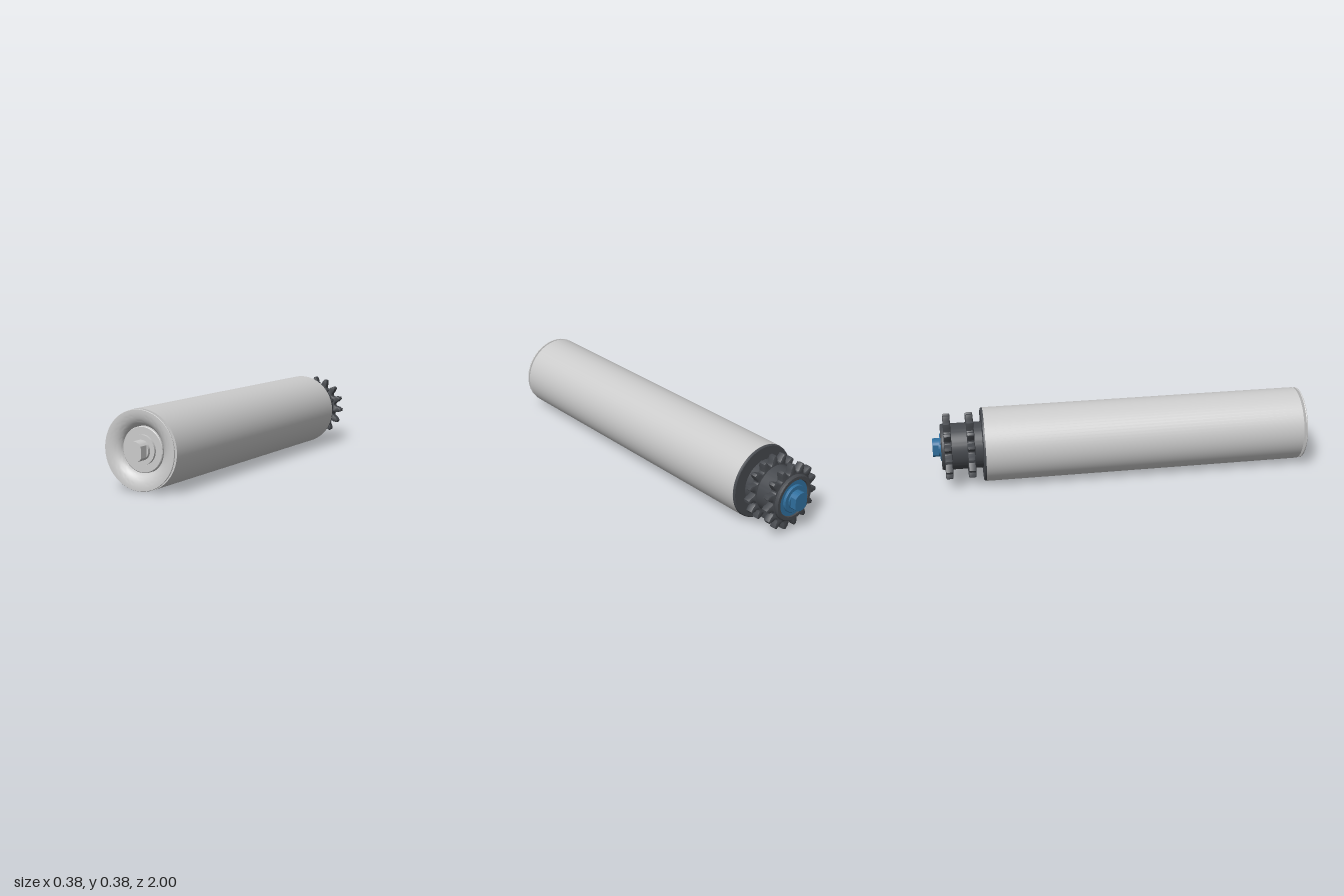
import * as THREE from 'three';
import { toCreasedNormals } from 'three/addons/utils/BufferGeometryUtils.js';

const AXIS_Y = 0.192;
const grey = new THREE.MeshStandardMaterial({ color: 0xcccccc });
const dark = new THREE.MeshStandardMaterial({ color: 0x46494e });
const blue = new THREE.MeshStandardMaterial({ color: 0x30709f });

function part(name, geometry, material) {
  const mesh = new THREE.Mesh(geometry, material);
  mesh.name = name;
  return mesh;
}

// Solid of revolution around z from [radius, z] pairs, outside running towards +z
function turned(name, points, material) {
  const g = new THREE.LatheGeometry(points.map(([r, z]) => new THREE.Vector2(r, z)), 72);
  g.rotateX(Math.PI / 2);
  return part(name, toCreasedNormals(g, 0.5), material);
}

// Round bar with two opposite flats
function flattedEnd(name, r, flat, z0, z1, material) {
  const a = Math.acos(flat / r);
  const s = new THREE.Shape();
  s.absarc(0, 0, r, a, Math.PI - a, false);
  s.absarc(0, 0, r, Math.PI + a, 2 * Math.PI - a, false);
  s.closePath();
  const g = new THREE.ExtrudeGeometry(s, { depth: z1 - z0, bevelEnabled: false, curveSegments: 16 });
  g.translate(0, 0, z0);
  return part(name, toCreasedNormals(g, 0.4), material);
}

// Chain wheel with narrow teeth and rounded valleys
function sprocket(name, z) {
  const teeth = 15, root = 0.122, tip = 0.171, step = (2 * Math.PI) / teeth;
  const at = (r, a) => [r * Math.cos(a), r * Math.sin(a)];
  const s = new THREE.Shape();
  for (let i = 0; i < teeth; i++) {
    const a = Math.PI / 2 + i * step;
    if (i === 0) s.moveTo(...at(tip, a - step * 0.1));
    s.lineTo(...at(tip, a + step * 0.1));
    s.lineTo(...at(0.152, a + step * 0.25));
    s.bezierCurveTo(...at(root, a + step * 0.3), ...at(root, a + step * 0.7), ...at(0.152, a + step * 0.75));
    s.lineTo(...at(tip, a + step * 0.9));
  }
  const hole = new THREE.Path();
  hole.absarc(0, 0, 0.1, 0, Math.PI * 2, true);
  s.holes.push(hole);
  const g = new THREE.ExtrudeGeometry(s, {
    depth: 0.024, bevelThickness: 0.007, bevelSize: 0.006, bevelOffset: -0.006,
    bevelSegments: 2, curveSegments: 6,
  });
  g.translate(0, 0, z - 0.012);
  return part(name, toCreasedNormals(g, 0.5), dark);
}

export function createModel() {
  const group = new THREE.Group();
  group.name = 'conveyorRoller';

  // Hollow roller tube
  group.add(turned('rollerTube', [
    [0.18, -0.735], [0.192, -0.735], [0.192, 0.937], [0.18, 0.937], [0.18, -0.735],
  ], grey));

  // Front cap: thin flared lip sweeping back into the bearing seat
  const flare = [];
  for (let i = 0; i <= 12; i++) {
    const t = (i / 12) * Math.PI / 2;
    flare.push([0.184 - 0.074 * Math.sin(t), 0.908 + 0.05 * Math.cos(t)]);
  }
  group.add(turned('frontEndCap', [
    [0.11, 0.86], [0.125, 0.86], [0.125, 0.936], [0.15, 0.943], [0.19, 0.951],
    [0.191, 0.955], [0.189, 0.958], ...flare, [0.11, 0.86],
  ], grey));

  // Front bearing and shaft
  group.add(turned('frontBearing', [
    [0, 0.86], [0.109, 0.86], [0.109, 0.926], [0.106, 0.929],
    [0.073, 0.929], [0.073, 0.925], [0.071, 0.925], [0.071, 0.938], [0, 0.938],
  ], grey));
  group.add(turned('frontShaft', [[0, 0.9], [0.048, 0.9], [0.048, 0.955], [0, 0.955]], grey));
  group.add(flattedEnd('frontShaftEnd', 0.048, 0.039, 0.95, 1, grey));

  // Drive head: end disc, hub and recessed rear seat
  group.add(turned('driveHead', [
    [0, -0.94], [0.095, -0.94], [0.097, -0.957], [0.114, -0.957], [0.12, -0.951],
    [0.12, -0.746], [0.186, -0.746], [0.19, -0.743], [0.191, -0.735], [0.179, -0.734], [0.179, -0.7], [0, -0.7],
  ], dark));
  group.add(sprocket('innerSprocket', -0.805), sprocket('outerSprocket', -0.922));

  // Rear bearing and shaft
  group.add(turned('rearBearing', [
    [0, -0.962], [0.068, -0.962], [0.071, -0.959], [0.071, -0.95],
    [0.094, -0.95], [0.094, -0.93], [0, -0.93],
  ], blue));
  group.add(turned('rearShaft', [[0, -0.97], [0.048, -0.97], [0.048, -0.94], [0, -0.94]], blue));
  group.add(flattedEnd('rearShaftEnd', 0.048, 0.039, -1, -0.95, blue));

  group.position.y = AXIS_Y;
  const model = new THREE.Group();
  model.name = 'roller';
  model.add(group);
  return model;
}
